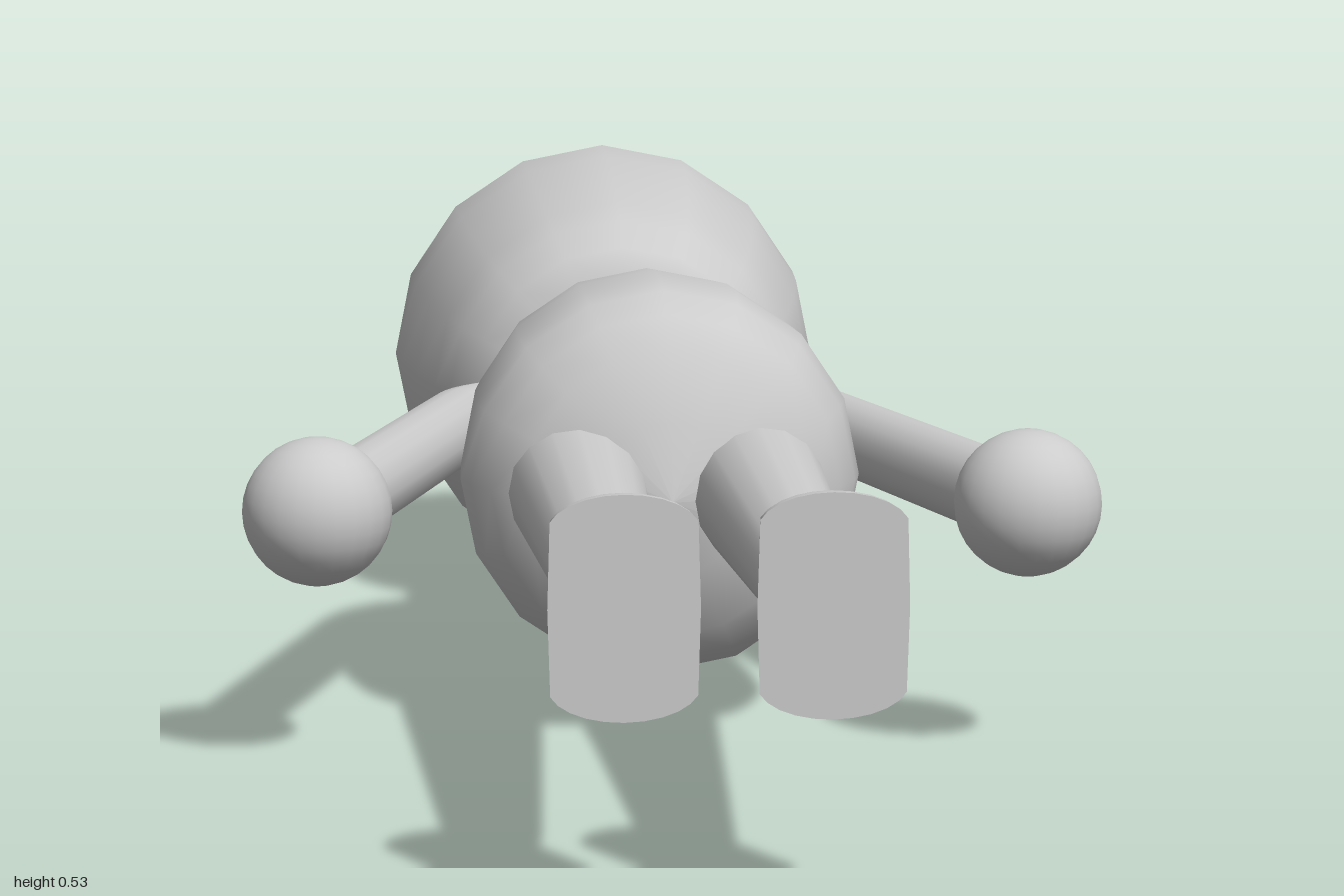
import * as THREE from 'three';

const AXIS_Y = 0.268; // height of the body's long axis

export function createModel() {
  const model = new THREE.Group();
  const material = new THREE.MeshStandardMaterial({ color: 0xcccccc });

  const add = (name, geometry, x = 0, y = AXIS_Y, z = 0) => {
    const mesh = new THREE.Mesh(geometry, material);
    mesh.name = name;
    mesh.position.set(x, y, z);
    model.add(mesh);
    return mesh;
  };

  // Round body turned about the z axis, from [radius, z] pairs
  const turned = (profile, sides = 16) =>
    new THREE.LatheGeometry(profile.map(([r, z]) => new THREE.Vector2(r, z)), sides).rotateX(Math.PI / 2);

  add('head', turned([
    [0, -1], [0.06, -0.992], [0.12, -0.97], [0.2, -0.91], [0.235, -0.87], [0.257, -0.82],
    [0.263, -0.77], [0.258, -0.68], [0.243, -0.57], [0.222, -0.47], [0.205, -0.42],
    [0.178, -0.375], [0.135, -0.33], [0, -0.325],
  ]));

  add('torso', turned([
    [0, -0.34], [0.13, -0.335], [0.145, -0.23], [0.175, -0.1], [0.198, 0], [0.208, 0.1],
    [0.212, 0.2], [0.203, 0.24], [0.183, 0.28], [0.15, 0.315], [0.08, 0.348], [0, 0.368],
  ]));

  // Stretch a round foot section into a long one
  const stretch = (geometry) => {
    const p = geometry.attributes.position;
    for (let i = 0; i < p.count; i++) {
      const y = p.getY(i);
      if (Math.abs(y) > 1e-6) p.setY(i, y + Math.sign(y) * 0.07);
    }
    geometry.computeVertexNormals();
    return geometry;
  };

  for (const [side, s] of [['left', 1], ['right', -1]]) {
    // Arm bends at the shoulder, then runs straight to the hand
    const path = new THREE.CurvePath();
    const v = (x, z) => new THREE.Vector3(s * x, 0, z);
    path.add(new THREE.QuadraticBezierCurve3(v(0.09, -0.245), v(0.18, -0.235), v(0.207, -0.15)));
    path.add(new THREE.LineCurve3(v(0.207, -0.15), v(0.355, 0.39)));
    add(side + 'Arm', new THREE.TubeGeometry(path, 40, 0.043, 16));

    add(side + 'Hand', new THREE.SphereGeometry(0.076, 24, 16), s * 0.363, AXIS_Y, 0.392);

    // Tapered leg
    const leg = new THREE.CylinderGeometry(0.04, 0.077, 0.76, 16).rotateX(Math.PI / 2);
    add(side + 'Leg', leg, s * 0.093, AXIS_Y, 0.58);

    // Domed foot with a flat sole
    const dome = new THREE.SphereGeometry(1, 24, 8, 0, Math.PI * 2, 0, Math.PI / 2);
    dome.rotateX(-Math.PI / 2).scale(0.068, 0.0325, 0.066);
    add(side + 'Foot', stretch(dome), s * 0.093, 0.283, 1);
    const sole = new THREE.CircleGeometry(1, 24).scale(0.068, 0.0325, 1);
    add(side + 'Sole', stretch(sole), s * 0.093, 0.283, 1);
  }

  return model;
}
